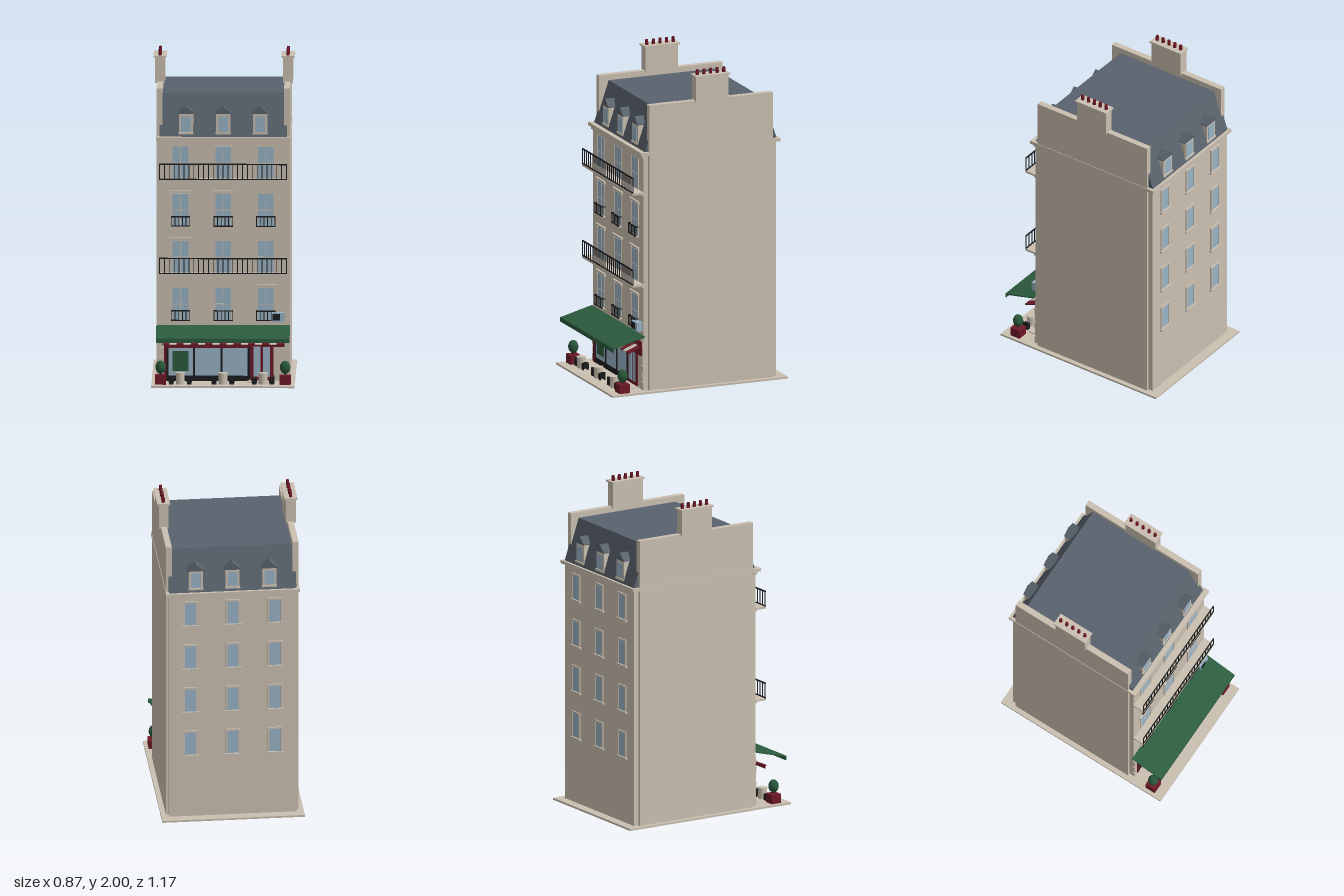
import * as THREE from 'three';

const mat = (name, color) => Object.assign(new THREE.MeshStandardMaterial({ color }), { name });

export function createModel() {
  const stone = mat('stone', 0xcbc0b1), slate = mat('slate', 0x59636d), glass = mat('glass', 0x98b3c6);
  const iron = mat('iron', 0x1b1c1e), green = mat('awning green', 0x2c5c3e), red = mat('shop red', 0x6e1826);
  const leaf = mat('leaf green', 0x28573a);

  const model = new THREE.Group();
  model.name = 'townhouse';
  const group = (name, parent = model) => {
    const g = new THREE.Group();
    g.name = name;
    parent.add(g);
    return g;
  };
  const add = (name, geo, m, parent = model) => {
    const mesh = new THREE.Mesh(geo, m);
    mesh.name = name;
    parent.add(mesh);
    return mesh;
  };
  // Box given by its minimum and maximum on each axis
  const box = (name, m, x0, x1, y0, y1, z0, z1, parent = model) => {
    const geo = new THREE.BoxGeometry(x1 - x0, y1 - y0, z1 - z0);
    geo.translate((x0 + x1) / 2, (y0 + y1) / 2, (z0 + z1) / 2);
    return add(name, geo, m, parent);
  };
  // Extrusion along x of a (z, y) profile
  const alongX = (name, m, pts, x0, x1, parent = model) => {
    const shape = new THREE.Shape(pts.map(([z, y]) => new THREE.Vector2(-z, y)));
    const geo = new THREE.ExtrudeGeometry(shape, { depth: x1 - x0, bevelEnabled: false });
    geo.rotateY(Math.PI / 2).translate(x0, 0, 0);
    return add(name, geo, m, parent);
  };

  const FRONT = 0.355, BACK = -0.525, MID = -0.09;
  const columns = [-0.26, 0, 0.26];

  // Pavement, main block, party walls and cornice
  box('pavement', stone, -0.437, 0.437, 0, 0.012, -0.584, 0.582);
  box('mainBlock', stone, -0.39, 0.39, 0.012, 1.5, BACK, FRONT);
  for (const s of [-1, 1]) {
    const x = s * 0.3885;
    box('partyWall', stone, x - 0.0185, x + 0.0185, 0.012, 1.81, -0.495, 0.325);
  }
  box('cornice', stone, -0.41, 0.41, 1.495, 1.515, -0.545, 0.38);
  box('corniceBand', stone, -0.395, 0.395, 1.473, 1.495, 0.34, 0.366);

  // Mansard roof
  alongX('mansardRoof', slate, [[0.35, 1.51], [0.26, 1.775], [-0.44, 1.775], [-0.53, 1.51]], -0.39, 0.39);

  // Dormers, front row turned around for the back row
  for (const side of [1, -1]) {
    const row = group(side > 0 ? 'frontDormers' : 'backDormers');
    for (const x of [-0.226, 0, 0.226]) {
      const d = group('dormer', row);
      box('dormerFrame', stone, -0.043, 0.043, 1.535, 1.656, 0.27 - MID, 0.342 - MID, d);
      box('dormerSill', stone, -0.046, 0.046, 1.53, 1.542, 0.3 - MID, 0.348 - MID, d);
      box('dormerGlass', glass, -0.03, 0.03, 1.545, 1.64, 0.34 - MID, 0.3445 - MID, d);
      const gable = new THREE.Shape([[-0.05, 1.655], [0.05, 1.655], [0.05, 1.66], [0, 1.702], [-0.05, 1.66]]
        .map(p => new THREE.Vector2(...p)));
      const geo = new THREE.ExtrudeGeometry(gable, { depth: 0.084, bevelEnabled: false });
      geo.translate(0, 0, 0.262 - MID);
      add('dormerRoof', geo, slate, d);
      d.position.x = x;
    }
    row.position.z = MID;
    if (side < 0) row.rotation.y = Math.PI;
  }

  // Chimney stacks with pots
  for (const s of [-1, 1]) {
    const c = group('chimney');
    c.position.x = s * 0.39;
    box('chimneyStack', stone, -0.03, 0.03, 1.8, 1.957, -0.197, 0.02, c);
    box('chimneyCap', stone, -0.04, 0.04, 1.957, 1.968, -0.204, 0.028, c);
    for (let i = 0; i < 5; i++) {
      add('chimneyPot', new THREE.CylinderGeometry(0.009, 0.011, 0.036, 10), red, c)
        .position.set(0, 1.982, -0.177 + i * 0.044);
    }
  }

  // Iron railing facing front
  const railing = (name, x0, x1, y0, y1, z, n) => {
    const g = group(name), t = 0.003;
    box('topRail', iron, x0, x1, y1 - 0.008, y1, z - t, z + t, g);
    box('bottomRail', iron, x0, x1, y0, y0 + 0.006, z - t, z + t, g);
    for (let i = 0; i < n; i++) {
      const x = x0 + t + (x1 - x0 - 2 * t) * i / (n - 1);
      box('baluster', iron, x - 0.0025, x + 0.0025, y0, y1, z - 0.002, z + 0.002, g);
    }
    return g;
  };

  // Street windows on four floors
  for (let f = 0; f < 4; f++) {
    const y = 0.385 + f * 0.29, top = y + 0.2;
    for (const x of columns) {
      const w = group('frontWindow');
      box('windowGlass', glass, x - 0.048, x + 0.048, y, top, FRONT - 0.002, FRONT + 0.002, w);
      box('mullion', stone, x - 0.002, x + 0.002, y, top, FRONT, FRONT + 0.004, w);
      box('transom', stone, x - 0.048, x + 0.048, y + 0.098, y + 0.103, FRONT, FRONT + 0.004, w);
      for (const s of [-1, 1]) {
        const e = x + s * 0.052;
        box('jamb', stone, e - 0.004, e + 0.004, y, top, FRONT - 0.002, FRONT + 0.005, w);
        if (f < 3) box('lintelBracket', stone, e + s * 0.008 - 0.006, e + s * 0.008 + 0.006, top, top + 0.012, FRONT, FRONT + 0.009, w);
      }
      if (f < 3) box('lintel', stone, x - 0.068, x + 0.068, top + 0.01, top + 0.022, FRONT, FRONT + 0.013, w);
      if (f % 2 === 0) {
        box('sill', stone, x - 0.058, x + 0.058, y - 0.006, y + 0.002, FRONT, FRONT + 0.02, w);
        const r = railing('windowGuard', x - 0.059, x + 0.059, y, y + 0.065, 0.375, 6);
        for (const s of [-1, 1]) {
          box('guardReturn', iron, x + s * 0.057 - 0.002, x + s * 0.057 + 0.002, y + 0.058, y + 0.064, FRONT, 0.375, r);
        }
      }
    }
    // Full-width balconies on the second and fourth floors
    if (f % 2) {
      box('balconySlab', stone, -0.39, 0.39, y - 0.007, y + 0.006, FRONT - 0.01, 0.43);
      box('balconyMoulding', stone, -0.39, 0.39, y - 0.016, y - 0.007, FRONT - 0.01, 0.366);
      railing('balconyRailing', -0.39, 0.39, y + 0.006, y + 0.105, 0.426, 27);
    }
  }

  // Courtyard windows
  for (let f = 0; f < 4; f++) {
    const y = 0.425 + f * 0.29, top = y + 0.15;
    for (const x of columns) {
      const w = group('backWindow');
      box('backGlass', glass, x - 0.034, x + 0.034, y, top, BACK - 0.003, BACK + 0.002, w);
      for (const s of [-1, 1]) {
        box('backJamb', stone, x + s * 0.04 - 0.006, x + s * 0.04 + 0.006, y, top, BACK - 0.008, BACK + 0.002, w);
      }
      box('backLintel', stone, x - 0.046, x + 0.046, top, top + 0.012, BACK - 0.008, BACK + 0.002, w);
      box('backSill', stone, x - 0.052, x + 0.052, y - 0.012, y, BACK - 0.014, BACK + 0.002, w);
    }
  }

  // Rusticated corner blocks beside the shop
  for (const s of [-1, 1]) for (let i = 0; i < 6; i++) {
    const h = i % 2 ? 0.014 : 0.02;
    box('cornerBlock', stone, s * 0.372 - h, s * 0.372 + h, 0.014 + i * 0.052, 0.06 + i * 0.052, FRONT - 0.01, FRONT + 0.006);
  }

  // Shop front
  const shop = group('shopFront'), Z = FRONT;
  box('fascia', red, -0.36, 0.375, 0.225, 0.315, Z, Z + 0.012, shop);
  box('shopEndPost', red, -0.36, -0.345, 0.012, 0.225, Z, Z + 0.012, shop);
  box('shopGlass', glass, -0.345, 0.16, 0.045, 0.225, Z, Z + 0.004, shop);
  box('shopBase', iron, -0.345, 0.16, 0.012, 0.045, Z, Z + 0.009, shop);
  for (const x of [-0.342, -0.178, -0.01, 0.157]) box('shopMullion', iron, x - 0.007, x + 0.007, 0.03, 0.225, Z, Z + 0.01, shop);
  box('menuPanel', green, -0.31, -0.212, 0.075, 0.198, Z + 0.003, Z + 0.008, shop);
  box('doorSurround', red, 0.164, 0.306, 0.012, 0.25, Z, Z + 0.008, shop);
  for (const x of [0.206, 0.264]) box('doorGlass', glass, x - 0.022, x + 0.022, 0.04, 0.24, Z + 0.006, Z + 0.011, shop);
  box('doorStep', stone, 0.148, 0.322, 0.002, 0.018, Z, 0.45, shop);

  // Small striped canopy with its valance
  const n = 17, step = 0.74 / n;
  for (let i = 0; i < n; i++) {
    const x = -0.37 + i * step;
    alongX('canopyStripe', i % 2 ? stone : red, [[0.36, 0.286], [0.36, 0.28], [0.44, 0.247], [0.446, 0.247], [0.446, 0.253]],
      x, x + step, shop);
  }
  box('canopyValance', red, -0.36, 0.158, 0.228, 0.25, 0.441, 0.446, shop);

  // Main awning
  alongX('awning', green, [[0.355, 0.357], [0.355, 0.35], [0.56, 0.295], [0.56, 0.275], [0.566, 0.275], [0.566, 0.302]], -0.408, 0.408);

  // Air conditioner
  const ac = group('airConditioner');
  box('acCase', glass, 0.295, 0.374, 0.382, 0.437, FRONT, 0.394, ac);
  box('acGrille', iron, 0.302, 0.346, 0.39, 0.43, 0.392, 0.397, ac);

  // Planters with clipped bushes
  for (const s of [-1, 1]) {
    const p = group('planter');
    p.position.set(s * 0.38, 0, 0.491);
    box('planterBox', red, -0.034, 0.034, 0.004, 0.068, -0.034, 0.034, p);
    add('stem', new THREE.CylinderGeometry(0.006, 0.006, 0.03, 6), iron, p).position.y = 0.075;
    const bush = add('bush', new THREE.SphereGeometry(0.032, 12, 8), leaf, p);
    bush.scale.y = 1.28;
    bush.position.y = 0.116;
  }

  // Terrace tables, each with two chairs
  for (const x of [-0.26, 0, 0.245]) {
    const t = group('terraceTable');
    t.position.set(x, 0, 0.488);
    add('tableBody', new THREE.CylinderGeometry(0.027, 0.027, 0.066, 12), stone, t).position.y = 0.043;
    add('tableTop', new THREE.CylinderGeometry(0.031, 0.031, 0.006, 12), stone, t).position.y = 0.079;
    for (const s of [-1, 1]) {
      const c = s * 0.054;
      box('chairSeat', iron, c - 0.016, c + 0.016, 0.022, 0.05, -0.018, 0.018, t);
      box('chairBack', iron, c + s * 0.012 - 0.003, c + s * 0.012 + 0.003, 0.022, 0.062, -0.018, 0.018, t);
      for (const z of [-0.015, 0.015]) box('chairLegs', iron, c - 0.014, c + 0.014, 0.01, 0.024, z - 0.003, z + 0.003, t);
    }
  }
  return model;
}
